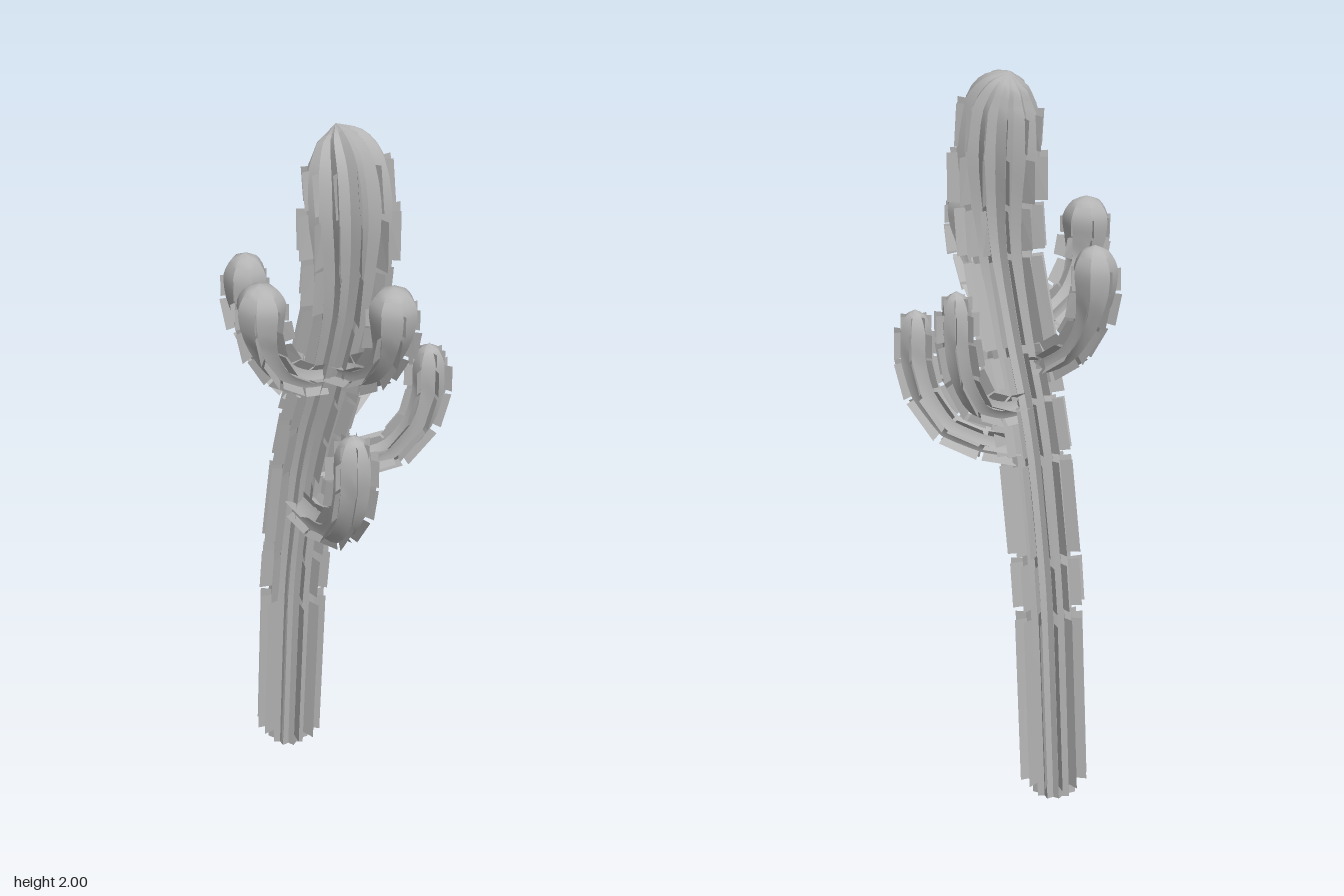
import * as THREE from 'three';
import { toCreasedNormals } from 'three/addons/utils/BufferGeometryUtils.js';

const skin = new THREE.MeshStandardMaterial({ color: 0xb4b4b4, side: THREE.DoubleSide });
skin.name = 'cactus grey';

let seed = 7;
const rand = () => (seed = (seed * 16807) % 2147483647) / 2147483647;

// Sampler for points around a path with a radius at each control point
function makePath(points, widths, ref) {
  const centre = new THREE.CatmullRomCurve3(points);
  const radii = new THREE.CatmullRomCurve3(widths.map(r => new THREE.Vector3(r, 0, 0)), false, 'catmullrom', 0.5);
  return {
    spans: points.length - 1,
    radius: u => Math.max(0, radii.getPoint(u).x),
    at(u, angle, r) {
      const t = centre.getTangent(u);
      const n = ref.clone().addScaledVector(t, -ref.dot(t)).normalize();
      const b = t.clone().cross(n);
      return centre.getPoint(u).addScaledVector(n, r * Math.cos(angle)).addScaledVector(b, r * Math.sin(angle));
    }
  };
}

function geometryFrom(points, index) {
  const g = new THREE.BufferGeometry().setFromPoints(points);
  g.setIndex(index);
  return g;
}

// Pleated skin swept along the path, closed at the bottom
function ribbedBody(path, { ribs, smoothFrom }) {
  const rings = path.spans * 3, n = ribs * 2, points = [], index = [];
  for (let i = -1; i <= rings; i++) {
    const u = Math.max(i, 0) / rings;
    const r = i < 0 ? 0 : path.radius(u);
    const pleat = u > smoothFrom ? 0.09 : 0.2;
    for (let j = 0; j < n; j++) {
      points.push(path.at(u, j / n * Math.PI * 2, r * (j % 2 ? 1 - pleat : 1)));
    }
  }
  for (let i = 0; i <= rings; i++) {
    for (let j = 0; j < n; j++) {
      const a = i * n + j, b = i * n + (j + 1) % n;
      index.push(a, b, a + n, b, b + n, a + n);
    }
  }
  return toCreasedNormals(geometryFrom(points, index), 0.7);
}

// Flat spine plates standing along every rib, one per span, shorter on the last span
function spinePlates(path, { ribs, reach, lastSpan }) {
  const points = [], index = [];
  for (let s = 0; s < lastSpan; s++) {
    for (let k = 0; k < ribs; k++) {
      const angle = k / ribs * Math.PI * 2, lean = (rand() - 0.5) * 0.16;
      const u0 = (s + 0.06 + rand() * 0.02) / path.spans, u1 = (s + 0.94 + rand() * 0.03) / path.spans;
      const r0 = path.radius(u0), r1 = path.radius(u1);
      const out = reach * (0.9 + rand() * 0.25) * (s === lastSpan - 1 ? 0.4 : 1);
      const edge = (r0 + r1) / 2 + out, base = points.length;
      points.push(path.at(u0, angle, r0 * 0.88), path.at(u0, angle + lean, edge),
        path.at(u1, angle, r1 * 0.88), path.at(u1, angle + lean, edge));
      index.push(base, base + 1, base + 2, base + 1, base + 3, base + 2);
    }
  }
  const g = geometryFrom(points, index).toNonIndexed();
  g.computeVertexNormals();
  return g;
}

function limb(name, path, style) {
  const group = new THREE.Group();
  group.name = name;
  const body = new THREE.Mesh(ribbedBody(path, style), skin);
  body.name = name + 'Body';
  const spines = new THREE.Mesh(spinePlates(path, style), skin);
  spines.name = name + 'Spines';
  group.add(body, spines);
  return group;
}

// Every arm reaches outward, then turns upward
const armOut = [0, 0.38, 0.7, 0.92, 1, 1, 1, 1];

function arm(name, style, base, tip, width) {
  const from = new THREE.Vector3(...base), to = new THREE.Vector3(...tip);
  const points = armOut.map((out, i) => {
    const p = from.clone().lerp(to, out);
    p.y = THREE.MathUtils.lerp(from.y, to.y, style.rise[i]);
    return p;
  });
  const side = new THREE.Vector3(to.z - from.z, 0, from.x - to.x).normalize();
  return limb(name, makePath(points, style.profile.map(f => f * width), side), style);
}

export function createModel() {
  const cactus = new THREE.Group();
  cactus.name = 'cactus';

  // Leaning trunk that swells into a domed crown: x, y, radius
  const trunk = [
    [-0.185, 0, 0.062], [-0.155, 0.55, 0.064], [-0.14, 0.7, 0.064], [-0.1, 0.98, 0.066],
    [-0.065, 1.13, 0.068], [-0.025, 1.26, 0.07], [0.04, 1.51, 0.08], [0.055, 1.65, 0.094],
    [0.056, 1.79, 0.111], [0.045, 1.91, 0.098], [0.024, 1.97, 0.06], [0.01, 2, 0]
  ];
  const trunkPath = makePath(trunk.map(([x, y]) => new THREE.Vector3(x, y, 0.012)),
    trunk.map(p => p[2]), new THREE.Vector3(0, 0, 1));
  cactus.add(limb('trunk', trunkPath, { ribs: 12, smoothFrom: 2, reach: 0.033, lastSpan: 9 }));

  // Upper arms end in round bulbs; lower arms are slender and bend sharply upward
  const round = { ribs: 7, smoothFrom: 0.5, reach: 0.024, lastSpan: 5,
    rise: [0, 0.07, 0.21, 0.44, 0.67, 0.84, 0.96, 1],
    profile: [0.5, 0.51, 0.55, 0.7, 0.97, 1.04, 0.62, 0] };
  const slim = { ribs: 7, smoothFrom: 0.6, reach: 0.022, lastSpan: 6,
    rise: [0, 0.03, 0.13, 0.38, 0.64, 0.85, 0.96, 1],
    profile: [0.72, 0.75, 0.83, 0.94, 1, 0.97, 0.6, 0] };

  cactus.add(
    arm('rightUpperArm', round, [-0.03, 1.22, 0.02], [-0.267, 1.585, 0.063], 0.056),
    arm('frontUpperArm', round, [0, 1.31, 0.04], [-0.012, 1.645, 0.265], 0.061),
    arm('leftUpperArm', round, [0.03, 1.33, 0.02], [0.264, 1.66, 0.078], 0.059),
    arm('leftLowerArm', slim, [-0.1, 0.865, 0.03], [0.205, 1.25, 0.158], 0.05),
    arm('backLeftArm', slim, [-0.08, 1, 0], [0.163, 1.37, -0.19], 0.044),
    arm('backRightArm', slim, [-0.06, 1.12, 0], [-0.102, 1.485, -0.26], 0.039)
  );
  return cactus;
}
